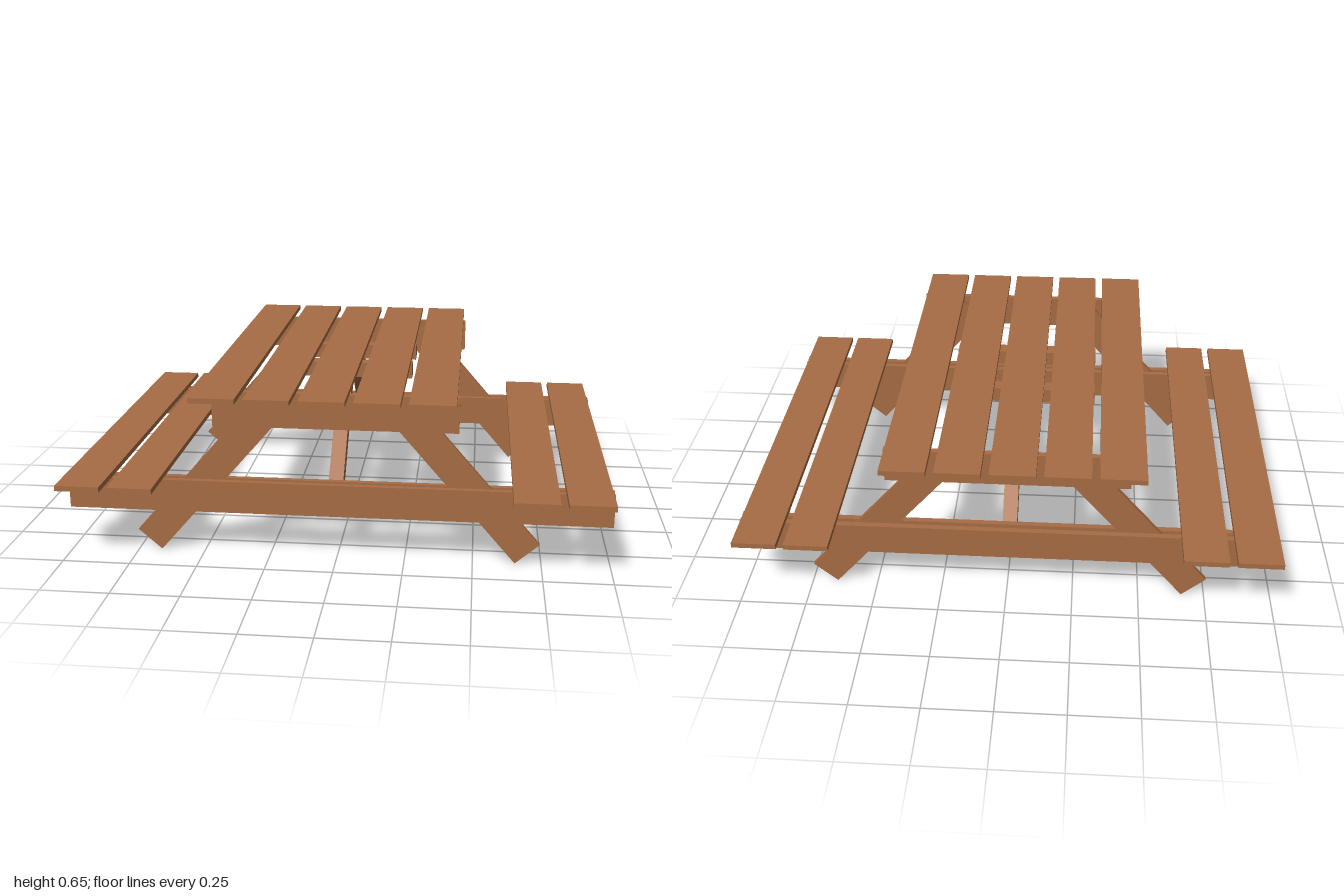
import * as THREE from 'three';

const CX = -0.005; // centre line of the frame under the table top

export function createModel() {
  const model = new THREE.Group();
  model.name = 'picnicTable';
  const wood = new THREE.MeshStandardMaterial({ color: 0xa66c44 });
  wood.name = 'brown wood';

  const add = (name, geometry) => {
    const mesh = new THREE.Mesh(geometry, wood);
    mesh.name = name;
    model.add(mesh);
    return mesh;
  };
  // Box given by its limits on each axis
  const board = (name, x0, x1, y0, y1, z0, z1) =>
    add(name, new THREE.BoxGeometry(x1 - x0, y1 - y0, z1 - z0))
      .position.set((x0 + x1) / 2, (y0 + y1) / 2, (z0 + z1) / 2);

  // Table top and bench planks
  const plankWidth = 0.163;
  for (let i = 0; i < 5; i++) {
    const x = -0.498 + i * 0.1915;
    board('tablePlank', x, x + plankWidth, 0.63, 0.649, -0.783, 0.783);
  }
  for (const x of [-1, -0.808, 0.636, 0.826])
    board('benchPlank', x, x + plankWidth, 0.286, 0.306, -0.783, 0.783);

  // Diagonal brace outline in (z, y), cut upright at both ends
  const braceShape = new THREE.Shape([
    [0.205, 0.553], [0.563, 0.195], [0.563, 0.272], [0.205, 0.63],
  ].map(([z, y]) => new THREE.Vector2(z, y)));

  const legAngle = Math.atan2(0.42, 0.365);
  const legLength = 0.714, legWidth = 0.116;

  for (const s of [-1, 1]) {
    const span = (name, x0, x1, y0, y1, a, b) =>
      board(name, x0, x1, y0, y1, Math.min(s * a, s * b), Math.max(s * a, s * b));

    // Beams clamping the legs, and the cleat under the top
    span('tableBeam', -0.45, 0.44, 0.5, 0.63, 0.604, 0.627);
    span('outerBenchBeam', -1, 1, 0.165, 0.286, 0.604, 0.627);
    span('innerBenchBeam', -1, 1, 0.165, 0.286, 0.563, 0.585);
    span('cleat', -0.312, 0.245, 0.573, 0.63, 0.117, 0.174);

    // Splayed legs with square-cut ends
    for (const side of [-1, 1]) {
      const leg = add('leg', new THREE.BoxGeometry(legLength, legWidth, 0.019));
      const along = legLength / 2;
      const footX = 0.703, footY = 0.038; // middle of the foot's cut end
      leg.position.set(
        CX + side * (footX - along * Math.cos(legAngle)),
        footY + along * Math.sin(legAngle),
        s * 0.5945);
      leg.rotation.z = -side * legAngle;
    }

    // Brace from the inner bench beam up to the table top
    const brace = add('brace', new THREE.ExtrudeGeometry(braceShape, { depth: 0.054, bevelEnabled: false }));
    brace.rotation.y = -s * Math.PI / 2;
    brace.position.x = s > 0 ? 0.018 : -0.036;
  }
  return model;
}
